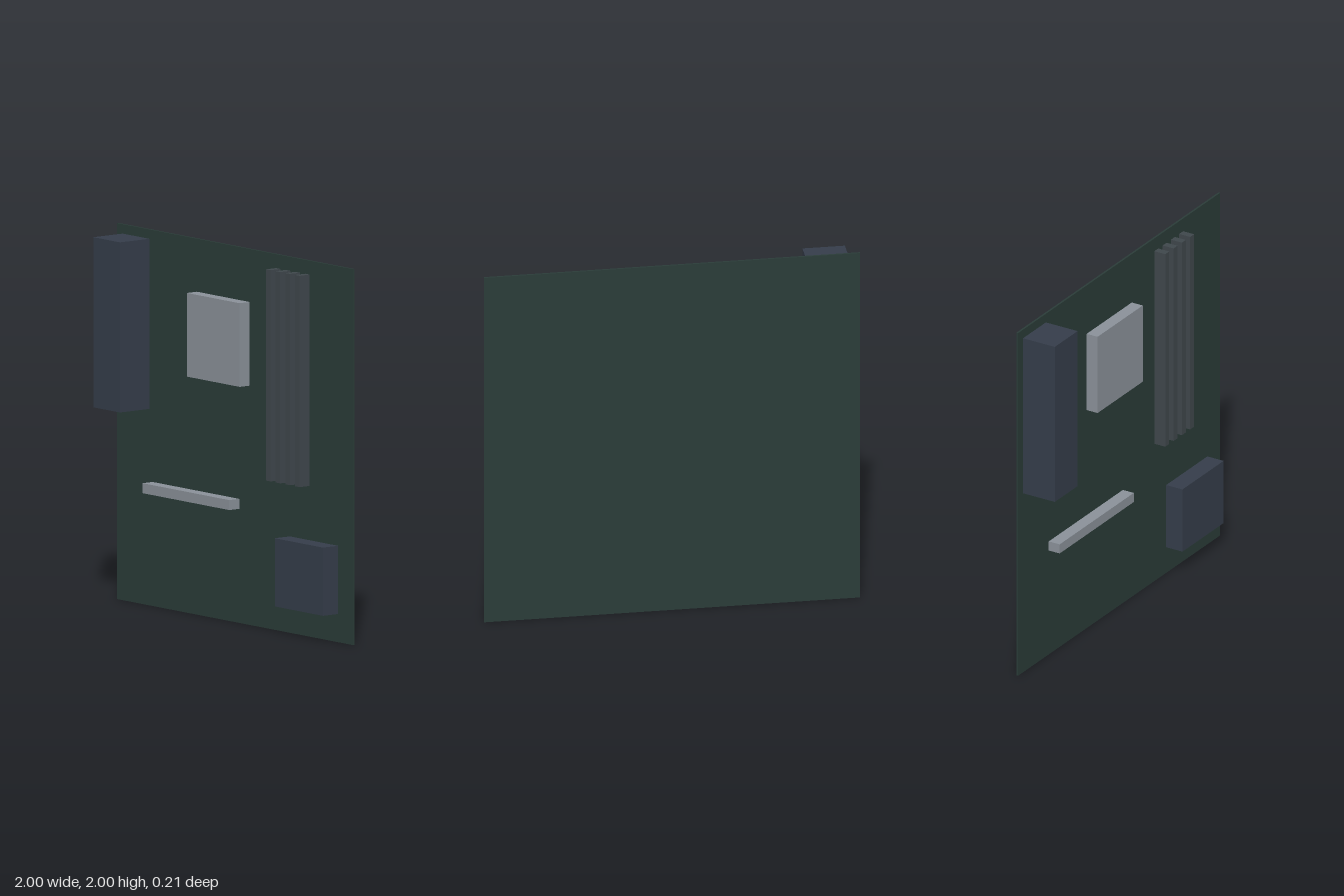
import * as THREE from 'three';

const BACK = -0.104;   // rear face of the board
const FACE = -0.093;   // front face of the board, where the parts sit

export function createModel() {
  const group = new THREE.Group();
  const mat = (color) => new THREE.MeshStandardMaterial({ color });
  const green = mat(0x2a3c38);
  const navy = mat(0x353d4a);
  const charcoal = mat(0x3f474c);
  const silver = mat(0x8a9199);

  // Box given by its extents on each axis
  const block = (name, material, [x0, x1], [y0, y1], [z0, z1]) => {
    const mesh = new THREE.Mesh(new THREE.BoxGeometry(x1 - x0, y1 - y0, z1 - z0), material);
    mesh.position.set((x0 + x1) / 2, (y0 + y1) / 2, (z0 + z1) / 2);
    mesh.name = name;
    group.add(mesh);
  };

  block('board', green, [-1, 1], [0, 2], [BACK, FACE]);
  block('portBlock', navy, [-0.951, -0.725], [1.045, 1.95], [FACE, 0.104]);
  block('processor', silver, [-0.322, 0.125], [1.273, 1.718], [FACE, -0.025]);
  block('expansionSlot', silver, [-0.697, 0.037], [0.607, 0.66], [FACE, -0.025]);
  block('chipset', navy, [0.465, 0.873], [0.15, 0.513], [FACE, 0.008]);

  // Row of four memory slots
  for (let i = 0; i < 4; i++) {
    const x = 0.348 + i * 0.082;
    block(`memorySlot${i + 1}`, charcoal, [x, x + 0.039], [0.802, 1.926], [FACE, -0.025]);
  }

  return group;
}
